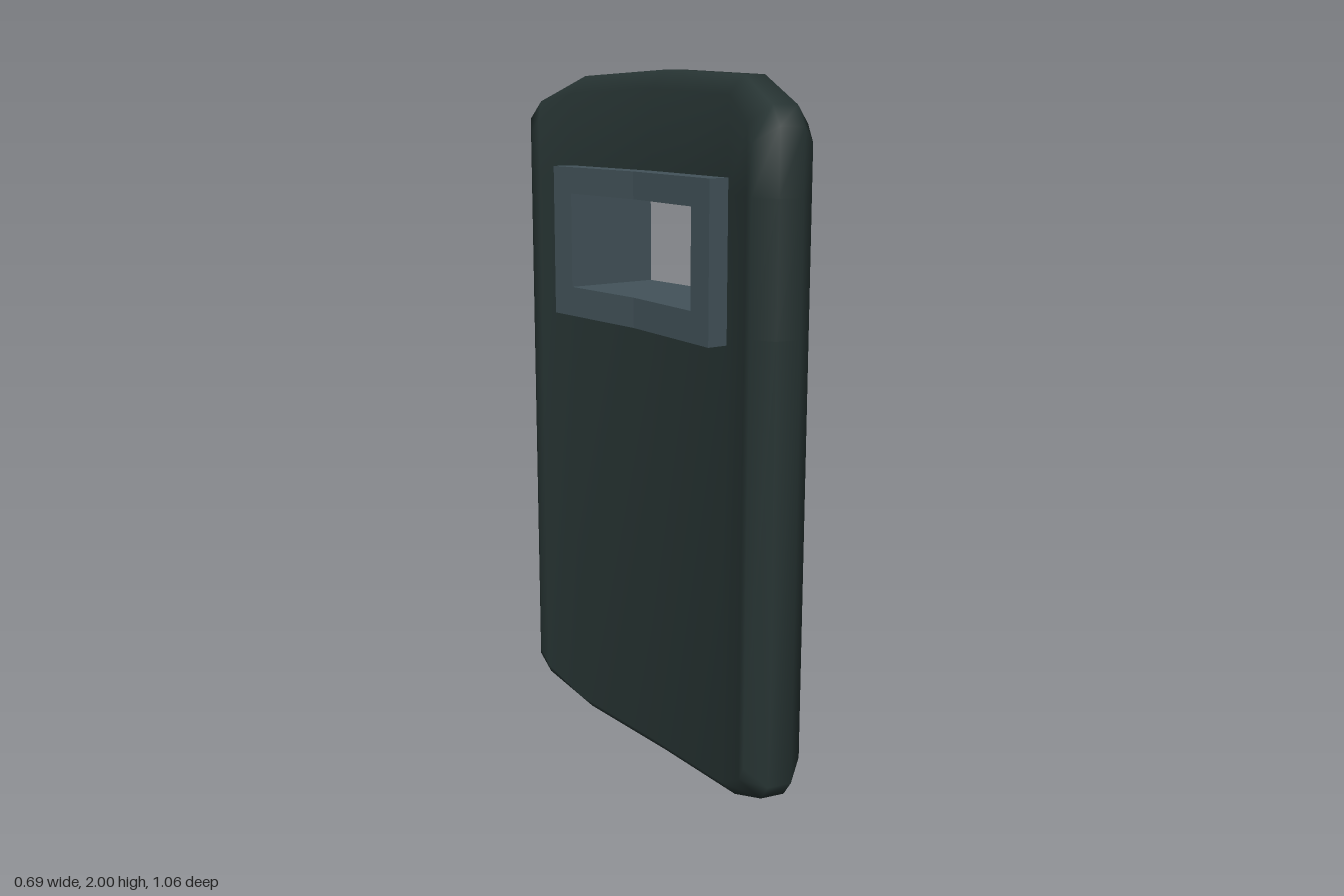
import * as THREE from 'three';
import { mergeVertices } from 'three/addons/utils/BufferGeometryUtils.js';

const BEND = 0.065;   // backward slope of the middle panels
const WING = 0.27;    // steeper slope of the side panels
const KINK = 0.37;    // where the side panels begin

// Point on the curved shield: u across, y up, t through the thickness
function place(u, y, t) {
  const a = Math.abs(u);
  const w = 0.066 - BEND * Math.min(a, KINK) - WING * Math.max(0, a - KINK);
  const shift = a > KINK + 0.01 ? Math.sign(u) * 0.2 * t : 0;
  return [u + shift, y, w + t];
}

function bodyGeometry() {
  const pos = [];
  const quad = (a, b, c, d) => pos.push(...a, ...b, ...c, ...a, ...c, ...d);
  const T = 0.083, rows = [1.34, 1.69];

  // Front and back faces, in columns, leaving the window open
  const cols = [[-0.54, 1.82], [-0.51, 1.865], [-KINK, 1.935], [0, 1.95],
    [KINK, 1.935], [0.51, 1.865], [0.54, 1.82]];
  for (let i = 0; i < cols.length - 1; i++) {
    const [u0, h0] = cols[i], [u1, h1] = cols[i + 1];
    const y0 = [2 - h0, ...rows, h0], y1 = [2 - h1, ...rows, h1];
    const isWindow = Math.abs(u0 + u1) / 2 < KINK;
    for (let j = 0; j < 3; j++) {
      if (j === 1 && isWindow) continue;
      const corners = (t) => [place(u0, y0[j], t), place(u1, y1[j], t),
        place(u1, y1[j + 1], t), place(u0, y0[j + 1], t)];
      quad(...corners(T));
      quad(...corners(-T).reverse());
    }
  }

  // Rounded rim: each entry is face u, face y, edge u, edge y
  const side = rows.map((y) => [0.54, y, 0.593, y]);
  const quarter = [[0.54, 1.82, 0.593, 1.86], [0.51, 1.865, 0.55, 1.912],
    [KINK, 1.935, KINK, 1.985], [0, 1.95, 0, 2]];
  const flipU = ([a, b, c, d]) => [-a, b, -c, d];
  const flipY = ([a, b, c, d]) => [a, 2 - b, c, 2 - d];
  const back = quarter.slice(0, 3).reverse();
  const loop = [...side, ...quarter, ...back.map(flipU),
    ...[...side].reverse().map(flipU),
    ...quarter.map(flipU).map(flipY), ...back.map(flipY)];
  const rings = (p) => [place(p[0], p[1], T), place(p[2], p[3], 0.034),
    place(p[2], p[3], -0.034), place(p[0], p[1], -T)];
  loop.forEach((p, i) => {
    const a = rings(p), b = rings(loop[(i + 1) % loop.length]);
    for (let r = 0; r < 3; r++) quad(a[r], a[r + 1], b[r + 1], b[r]);
  });

  let geo = new THREE.BufferGeometry();
  geo.setAttribute('position', new THREE.Float32BufferAttribute(pos, 3));
  geo = mergeVertices(geo, 1e-4);
  geo.computeVertexNormals();
  return geo;
}

// Extrude a half shape and bend it to follow the shield
function bentExtrude(shape, back, front) {
  const geo = new THREE.ExtrudeGeometry(shape, { depth: front - back, bevelEnabled: false, curveSegments: 5 });
  const p = geo.attributes.position;
  for (let i = 0; i < p.count; i++) {
    p.setZ(i, p.getZ(i) + back - BEND * Math.abs(p.getX(i)));
  }
  geo.computeVertexNormals();
  return geo;
}

// Half of the window frame, a C shape
function frameHalf(s) {
  const pts = [[0, 1.3], [0.375, 1.3], [0.375, 1.73], [0, 1.73],
    [0, 1.655], [0.29, 1.655], [0.29, 1.385], [0, 1.385]];
  return new THREE.Shape(pts.map(([x, y]) => new THREE.Vector2(s * x, y)));
}

// Half of the plate with rounded outer corners
function plateHalf(s) {
  const w = 0.372, b = 0.92, t = 1.195, r = 0.04;
  const sh = new THREE.Shape();
  sh.moveTo(0, b);
  sh.lineTo(s * (w - r), b);
  sh.quadraticCurveTo(s * w, b, s * w, b + r);
  sh.lineTo(s * w, t - r);
  sh.quadraticCurveTo(s * w, t, s * (w - r), t);
  sh.lineTo(0, t);
  return sh;
}

export function createModel() {
  const dark = new THREE.MeshStandardMaterial({ color: 0x273433 });
  dark.name = 'dark shell';
  const grey = new THREE.MeshStandardMaterial({ color: 0x43535a });
  grey.name = 'slate grey';

  const group = new THREE.Group();
  group.name = 'shield';
  const add = (name, geo, mat) => {
    const mesh = new THREE.Mesh(geo, mat);
    mesh.name = name;
    group.add(mesh);
  };

  add('shieldBody', bodyGeometry(), dark);
  for (const [s, label] of [[1, 'A'], [-1, 'B']]) {
    add('windowFrame' + label, bentExtrude(frameHalf(s), -0.078, 0.202), grey);
    add('frontPlate' + label, bentExtrude(plateHalf(s), 0.147, 0.154), grey);
  }

  // The shield stands turned away from the front
  group.rotation.y = THREE.MathUtils.degToRad(120);
  const root = new THREE.Group();
  root.add(group);
  return root;
}
